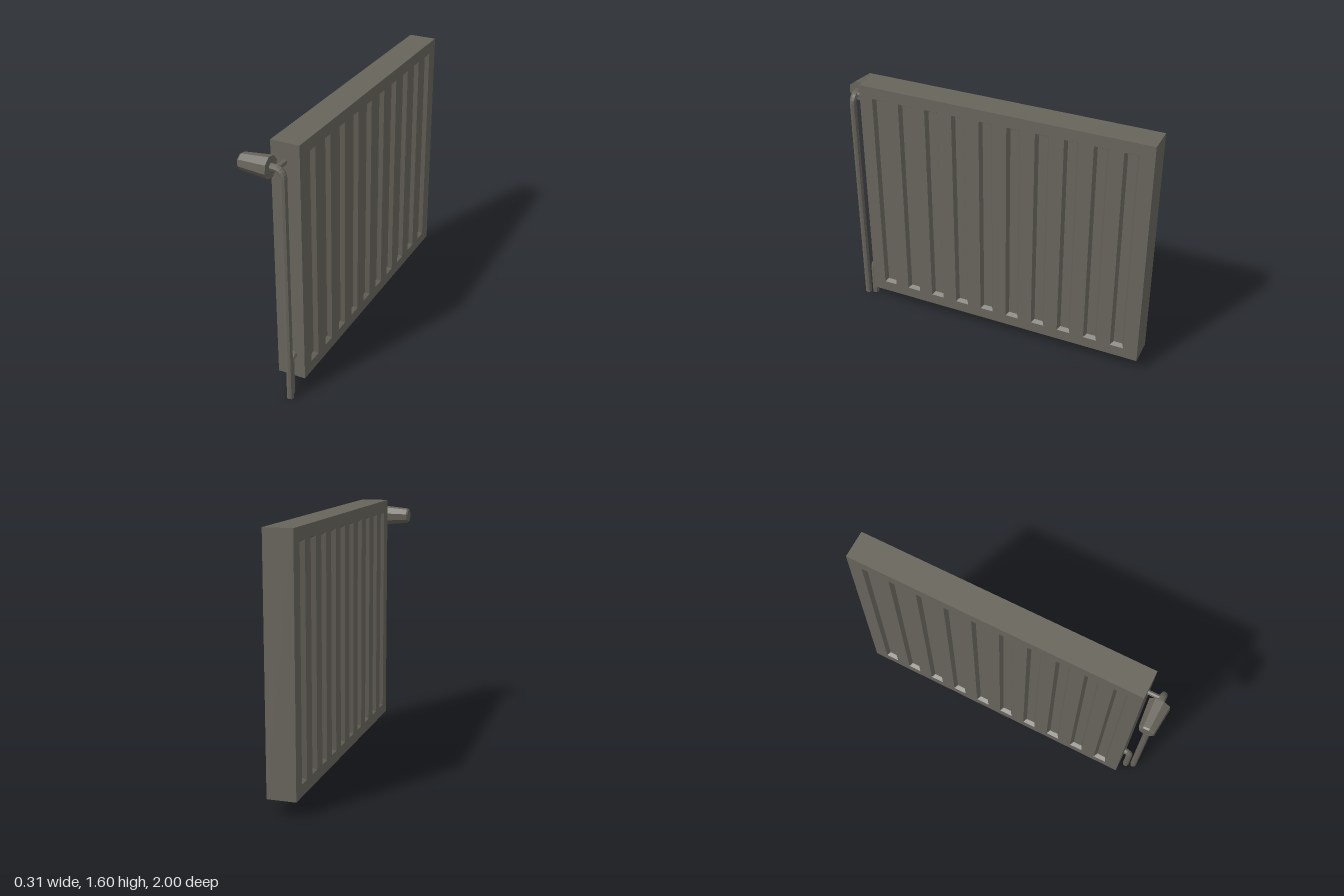
import * as THREE from 'three';

const grey = new THREE.MeshStandardMaterial({ color: 0x67645b });
grey.name = 'warm grey';
grey.flatShading = true;

const X0 = -0.025, X1 = 0.15, Y0 = 0.095, Y1 = 1.595, Z0 = -1, Z1 = 0.85;
const CX = (X0 + X1) / 2, CZ = (Z0 + Z1) / 2;
const HD = (X1 - X0) / 2, HL = (Z1 - Z0) / 2;

function add(parent, geometry, name) {
  const mesh = new THREE.Mesh(geometry, grey);
  mesh.name = name;
  parent.add(mesh);
  return mesh;
}

function quadGeometry(quads) {
  const pos = [];
  for (const [a, b, c, d] of quads) pos.push(...a, ...b, ...c, ...a, ...c, ...d);
  const g = new THREE.BufferGeometry();
  g.setAttribute('position', new THREE.Float32BufferAttribute(pos, 3));
  g.computeVertexNormals();
  return g;
}

// rectangle corners, counter-clockwise, in the plane of a panel face
const rect = (u0, v0, u1, v1, w = 0) => [[u0, v0, w], [u1, v0, w], [u1, v1, w], [u0, v1, w]];
const toPath = (corners, Type) => new Type(corners.map(([u, v]) => new THREE.Vector2(u, v)));

// One large face facing +z locally, with ten sunken, slant-sided channels
function ribbedFace(name, side) {
  const face = new THREE.Group();
  face.name = name;
  const shape = toPath(rect(-HL, Y0, HL, Y1), THREE.Shape);
  const quads = [];
  const inset = 0.015, depth = 0.025;
  for (let i = 0; i < 10; i++) {
    const z = 0.722 - i * 0.1765;
    const u = -side * (z - CZ);
    const u0 = u - 0.043, u1 = u + 0.043, v0 = 0.165, v1 = 1.52;
    const rim = rect(u0, v0, u1, v1);
    const floor = rect(u0 + inset, v0 + inset, u1 - inset, v1 - inset, -depth);
    shape.holes.push(toPath(rim, THREE.Path));
    quads.push(floor);
    for (let k = 0; k < 4; k++) {
      const n = (k + 1) % 4;
      quads.push([rim[k], rim[n], floor[n], floor[k]]);
    }
  }
  add(face, new THREE.ShapeGeometry(shape), 'facePlate');
  add(face, quadGeometry(quads), 'channels');
  face.rotation.y = side * Math.PI / 2;
  face.position.set(CX + side * HD, 0, CZ);
  return face;
}

// Bent pipe: straight, rounded elbow, straight
function pipe(name, start, corner, end, bend, radius) {
  const group = new THREE.Group();
  group.name = name;
  const [s, c, e] = [start, corner, end].map(p => new THREE.Vector3(...p));
  const a = c.clone().addScaledVector(s.clone().sub(c).normalize(), bend);
  const b = c.clone().addScaledVector(e.clone().sub(c).normalize(), bend);
  const k = 0.5523;
  const elbow = new THREE.CubicBezierCurve3(a, a.clone().lerp(c, k), b.clone().lerp(c, k), b);
  add(group, new THREE.TubeGeometry(new THREE.LineCurve3(s, a), 1, radius, 8), 'riser');
  add(group, new THREE.TubeGeometry(elbow, 5, radius, 8), 'elbow');
  add(group, new THREE.TubeGeometry(new THREE.LineCurve3(b, e), 1, radius, 8), 'branch');
  const cap = add(group, new THREE.CircleGeometry(radius, 8), 'lowerEnd');
  cap.rotation.x = Math.PI / 2;
  cap.position.copy(s);
  return group;
}

export function createModel() {
  const model = new THREE.Group();
  model.name = 'radiator';

  // Panel body: two ribbed faces and four plain edges
  const panel = new THREE.Group();
  panel.name = 'panel';
  panel.add(ribbedFace('leftFace', 1), ribbedFace('rightFace', -1));
  add(panel, quadGeometry([
    [[X0, Y1, Z1], [X1, Y1, Z1], [X1, Y1, Z0], [X0, Y1, Z0]],
    [[X0, Y0, Z0], [X1, Y0, Z0], [X1, Y0, Z1], [X0, Y0, Z1]],
    [[X0, Y0, Z1], [X1, Y0, Z1], [X1, Y1, Z1], [X0, Y1, Z1]],
    [[X1, Y0, Z0], [X0, Y0, Z0], [X0, Y1, Z0], [X1, Y1, Z0]],
  ]), 'panelEdges');
  model.add(panel);

  // Supply pipe up to the valve, and short return pipe into the panel
  model.add(pipe('supplyPipe', [0.098, 0, 0.935], [0.098, 1.485, 0.935], [0.02, 1.485, 0.935], 0.05, 0.021));
  model.add(pipe('returnPipe', [0.08, 0, 0.888], [0.08, 0.248, 0.888], [0.08, 0.248, 0.84], 0.036, 0.021));

  // Connector between valve and panel
  const connector = add(model, new THREE.CylinderGeometry(0.015, 0.015, 0.1, 8), 'valveConnector');
  connector.rotation.x = Math.PI / 2;
  connector.position.set(0.06, 1.483, 0.89);

  // Tapered eight-sided valve knob, pointing to -x
  const profile = [[0, 0], [0.066, 0], [0.05, 0.17], [0.043, 0.18], [0, 0.18]]
    .map(([r, h]) => new THREE.Vector2(r, h));
  const knob = add(model, new THREE.LatheGeometry(profile, 8, -Math.PI / 12), 'valveKnob');
  knob.rotation.z = Math.PI / 2;
  knob.position.set(0.025, 1.483, 0.936);

  return model;
}
